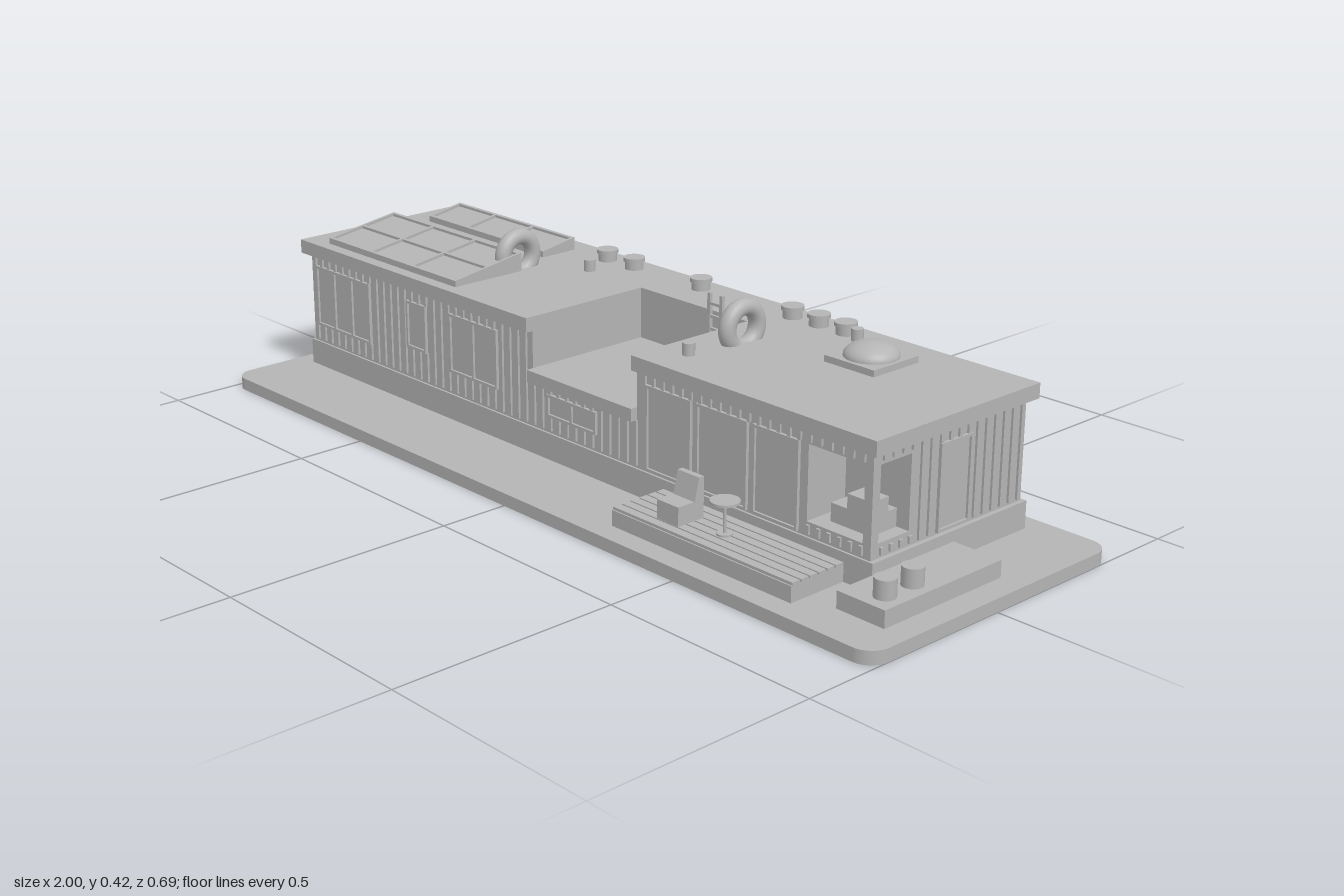
import * as THREE from 'three';
import { mergeGeometries } from 'three/addons/utils/BufferGeometryUtils.js';

const grey = new THREE.MeshStandardMaterial({ color: 0xb4b4b4 });
grey.name = 'plain grey';

// Box geometry from its limits
function boxGeo(x0, x1, y0, y1, z0, z1) {
  return new THREE.BoxGeometry(x1 - x0, y1 - y0, z1 - z0)
    .translate((x0 + x1) / 2, (y0 + y1) / 2, (z0 + z1) / 2);
}

// Flat outline in x and z, raised from y0 to y1
function slabGeo(shape, y0, y1) {
  return new THREE.ExtrudeGeometry(shape, { depth: y1 - y0, bevelEnabled: false, curveSegments: 8 })
    .rotateX(-Math.PI / 2).translate(0, y0, 0);
}

function cylGeo(x, y0, y1, z, r, seg = 24) {
  return new THREE.CylinderGeometry(r, r, y1 - y0, seg).translate(x, (y0 + y1) / 2, z);
}

// The four outer walls: a box on the wall from u0 to u1, standing d proud of it
const walls = {
  front: { a: -0.945, b: 0.825, box: (u0, u1, y0, y1, d) => boxGeo(u0, u1, y0, y1, 0.148, 0.15 + d) },
  back: { a: -0.945, b: 0.825, box: (u0, u1, y0, y1, d) => boxGeo(u0, u1, y0, y1, -0.288 - d, -0.286) },
  right: { a: -0.288, b: 0.15, box: (u0, u1, y0, y1, d) => boxGeo(0.818, 0.82 + d, y0, y1, u0, u1) },
  left: { a: -0.288, b: 0.15, box: (u0, u1, y0, y1, d) => boxGeo(-0.942 - d, -0.94, y0, y1, u0, u1) },
};

// Windows and doors: wall, u0, u1, y0, y1, panes
const openings = [
  ['front', -0.92, -0.71, 0.13, 0.275, 3],
  ['front', -0.57, -0.5, 0.16, 0.27, 1],
  ['front', -0.415, -0.25, 0.14, 0.275, 2],
  ['front', -0.085, 0.07, 0.125, 0.175, 2],
  ['front', 0.22, 0.35, 0.092, 0.275, 1],
  ['front', 0.365, 0.505, 0.092, 0.275, 1],
  ['front', 0.52, 0.64, 0.092, 0.275, 1],
  ['back', 0.48, 0.53, 0.17, 0.265, 1],
  ['back', -0.005, 0.075, 0.165, 0.26, 1],
  ['back', -0.17, -0.085, 0.092, 0.285, 1],
  ['back', -0.3, -0.215, 0.215, 0.26, 2],
  ['back', -0.54, -0.46, 0.155, 0.25, 1],
  ['back', -0.77, -0.7, 0.155, 0.25, 1],
  ['right', -0.124, -0.032, 0.092, 0.272, 1],
];
// Open porch corner and terrace edge, which interrupt the battens only
const gaps = [
  ['front', 0.66, 0.8, 0.112, 0.277],
  ['right', 0.045, 0.13, 0.108, 0.28],
  ['front', -0.135, 0.19, 0.19, 0.3],
];

export function createModel() {
  const root = new THREE.Group();
  root.name = 'house';
  const add = (name, ...geos) => {
    const parts = geos.map((g) => (g.index ? g.toNonIndexed() : g));
    const mesh = new THREE.Mesh(parts.length > 1 ? mergeGeometries(parts) : parts[0], grey);
    mesh.name = name;
    root.add(mesh);
    return mesh;
  };

  // Ground slab with rounded corners
  const s = new THREE.Shape();
  const X = 1, Z = 0.345, r = 0.045;
  s.moveTo(-X + r, -Z);
  s.lineTo(X - r, -Z).absarc(X - r, -Z + r, r, -Math.PI / 2, 0);
  s.lineTo(X, Z - r).absarc(X - r, Z - r, r, 0, Math.PI / 2);
  s.lineTo(-X + r, Z).absarc(-X + r, Z - r, r, Math.PI / 2, Math.PI);
  s.lineTo(-X, -Z + r).absarc(-X + r, -Z + r, r, Math.PI, Math.PI * 1.5);
  add('groundSlab', slabGeo(s, 0, 0.028));

  // Plinth and wall blocks, leaving the terrace and the porch corner open
  add('plinth', boxGeo(-0.95, 0.83, 0.028, 0.087, -0.295, 0.155));
  add('wallBlocks',
    boxGeo(-0.942, -0.135, 0.087, 0.3, -0.288, 0.15),
    boxGeo(-0.135, 0.19, 0.087, 0.19, -0.288, 0.15),
    boxGeo(-0.135, 0.19, 0.19, 0.3, -0.288, -0.16),
    boxGeo(0.19, 0.66, 0.087, 0.3, -0.288, 0.15),
    boxGeo(0.66, 0.82, 0.087, 0.3, -0.288, 0.045));
  add('porchFrame',
    boxGeo(0.66, 0.82, 0.087, 0.117, 0.045, 0.15),
    boxGeo(0.66, 0.82, 0.272, 0.3, 0.045, 0.15),
    boxGeo(0.8, 0.82, 0.117, 0.272, 0.13, 0.15));
  add('porchSeat',
    boxGeo(0.69, 0.79, 0.117, 0.155, 0.046, 0.117),
    boxGeo(0.73, 0.79, 0.155, 0.185, 0.07, 0.117));

  // Vertical battens, cut around every opening
  const pitch = 0.0265, half = 0.0042;
  for (const [side, w] of Object.entries(walls)) {
    const geos = [];
    for (let u = w.b - 0.001 - pitch; u > w.a + 0.008; u -= pitch) {
      let runs = [[0.093, 0.298]];
      for (const [o, u0, u1, y0, y1] of [...openings, ...gaps]) {
        if (o !== side || u + half < u0 || u - half > u1) continue;
        runs = runs.flatMap(([a, b]) => [[a, Math.min(b, y0)], [Math.max(a, y1), b]])
          .filter(([a, b]) => b - a > 0.004);
      }
      for (const [a, b] of runs) geos.push(w.box(u - half, u + half, a, b, 0.005));
    }
    add(side + 'Battens', ...geos);
  }

  // Framed windows and doors
  for (const [side, u0, u1, y0, y1, panes] of openings) {
    const bar = walls[side].box, t = 0.006, d = 0.007;
    const geos = [bar(u0, u1, y0, y0 + t, d), bar(u0, u1, y1 - t, y1, d)];
    for (let i = 0; i <= panes; i++) {
      const c = u0 + t / 2 + (u1 - u0 - t) * i / panes;
      geos.push(bar(c - t / 2, c + t / 2, y0, y1, d));
    }
    geos.push(bar(u0, u1, y0, y1, 0.002));
    add(side + 'Window', ...geos);
  }

  // Roof plate notched for the terrace
  const roof = new THREE.Shape([
    [-0.96, -0.167], [-0.135, -0.167], [-0.135, 0.16], [0.19, 0.16], [0.19, -0.167],
    [0.84, -0.167], [0.84, 0.302], [-0.96, 0.302],
  ].map(([x, y]) => new THREE.Vector2(x, y)));
  add('roof', slabGeo(roof, 0.3, 0.332));
  add('terraceFloor', boxGeo(-0.135, 0.19, 0.19, 0.218, -0.16, 0.167));

  // Ladder from terrace to roof
  const ladder = [0.098, 0.134].map((x) => boxGeo(x - 0.004, x + 0.004, 0.218, 0.378, -0.146, -0.138));
  for (let i = 0; i < 5; i++) ladder.push(boxGeo(0.1, 0.132, 0.24 + i * 0.028, 0.246 + i * 0.028, -0.145, -0.139));
  add('ladder', ...ladder);

  // Tilted solar panels: a wedge with raised frame bars
  const solar = (x0, x1, zBack, zFront, yBack, yFront, rows) => {
    const tilt = (g) => {
      const p = g.attributes.position;
      for (let i = 0; i < p.count; i++) {
        if (p.getY(i) < 0) continue;
        const k = (p.getZ(i) - zBack) / (zFront - zBack);
        p.setY(i, p.getY(i) + yBack + (yFront - yBack) * k);
      }
      g.computeVertexNormals();
      return g;
    };
    const b = 0.007, geos = [];
    const wedge = boxGeo(x0, x1, -1, 0, zBack, zFront);
    tilt(wedge);
    const p = wedge.attributes.position;
    for (let i = 0; i < p.count; i++) if (p.getY(i) < 0) p.setY(i, 0.33);
    wedge.computeVertexNormals();
    geos.push(wedge);
    for (let i = 0; i <= 3; i++) {
      const x = x0 + (x1 - x0 - b) * i / 3;
      geos.push(tilt(boxGeo(x, x + b, 0, 0.006, zBack, zFront)));
    }
    for (let i = 0; i <= rows; i++) {
      const z = zBack + (zFront - zBack - b) * i / rows;
      geos.push(tilt(boxGeo(x0, x1, 0, 0.006, z, z + b)));
    }
    add('solarPanel', ...geos);
  };
  solar(-0.885, -0.41, -0.05, 0.138, 0.368, 0.34, 2);
  solar(-0.885, -0.46, -0.25, -0.155, 0.356, 0.34, 1);

  // Roof vents and small pipes
  for (const x of [-0.345, -0.255, -0.04, 0.235, 0.31, 0.385])
    add('roofVent', cylGeo(x, 0.33, 0.352, -0.25, 0.021), cylGeo(x, 0.35, 0.359, -0.25, 0.0245));
  for (const [x, z] of [[0.43, -0.235], [-0.31, -0.165], [0.265, 0.08]])
    add('roofPipe', cylGeo(x, 0.33, 0.358, z, 0.013, 16));

  // Upright rings
  for (const x of [-0.435, 0.275])
    add('roofRing', new THREE.TorusGeometry(0.0425, 0.0185, 16, 40).rotateY(Math.PI / 2).translate(x, 0.362, -0.06));

  // Domed skylight
  add('skylightBase', boxGeo(0.475, 0.605, 0.332, 0.346, -0.22, -0.088));
  add('skylightDome', new THREE.SphereGeometry(0.057, 32, 10, 0, Math.PI * 2, 0, Math.PI / 2)
    .scale(1, 0.53, 1).translate(0.54, 0.346, -0.154));

  // Planked front deck
  const deck = [boxGeo(0.275, 0.76, 0.028, 0.062, 0.155, 0.295)];
  for (let i = 0; i < 6; i++) {
    const z = 0.156 + i * 0.0233;
    deck.push(boxGeo(0.275, 0.76, 0.062, 0.068, z, z + 0.0195));
  }
  add('deck', ...deck);

  // Side platform with planters
  add('sidePlatform', boxGeo(0.83, 0.945, 0.028, 0.064, -0.076, 0.25));
  for (const z of [0.205, 0.13]) add('planter', cylGeo(0.905, 0.063, 0.103, z, 0.022));

  // Deck chair with sloping back
  const back = new THREE.Shape([[0.2, 0.155], [0.213, 0.155], [0.226, 0.1], [0.2, 0.1]]
    .map(([z, y]) => new THREE.Vector2(-z, y)));
  add('deckChair', boxGeo(0.375, 0.435, 0.068, 0.108, 0.226, 0.268), boxGeo(0.375, 0.435, 0.068, 0.102, 0.2, 0.23),
    new THREE.ExtrudeGeometry(back, { depth: 0.06, bevelEnabled: false }).rotateY(Math.PI / 2).translate(0.375, 0, 0));

  // Round table
  add('table', cylGeo(0.52, 0.134, 0.139, 0.227, 0.03), cylGeo(0.52, 0.068, 0.135, 0.227, 0.0035, 10),
    cylGeo(0.52, 0.068, 0.072, 0.227, 0.016));
  return root;
}
